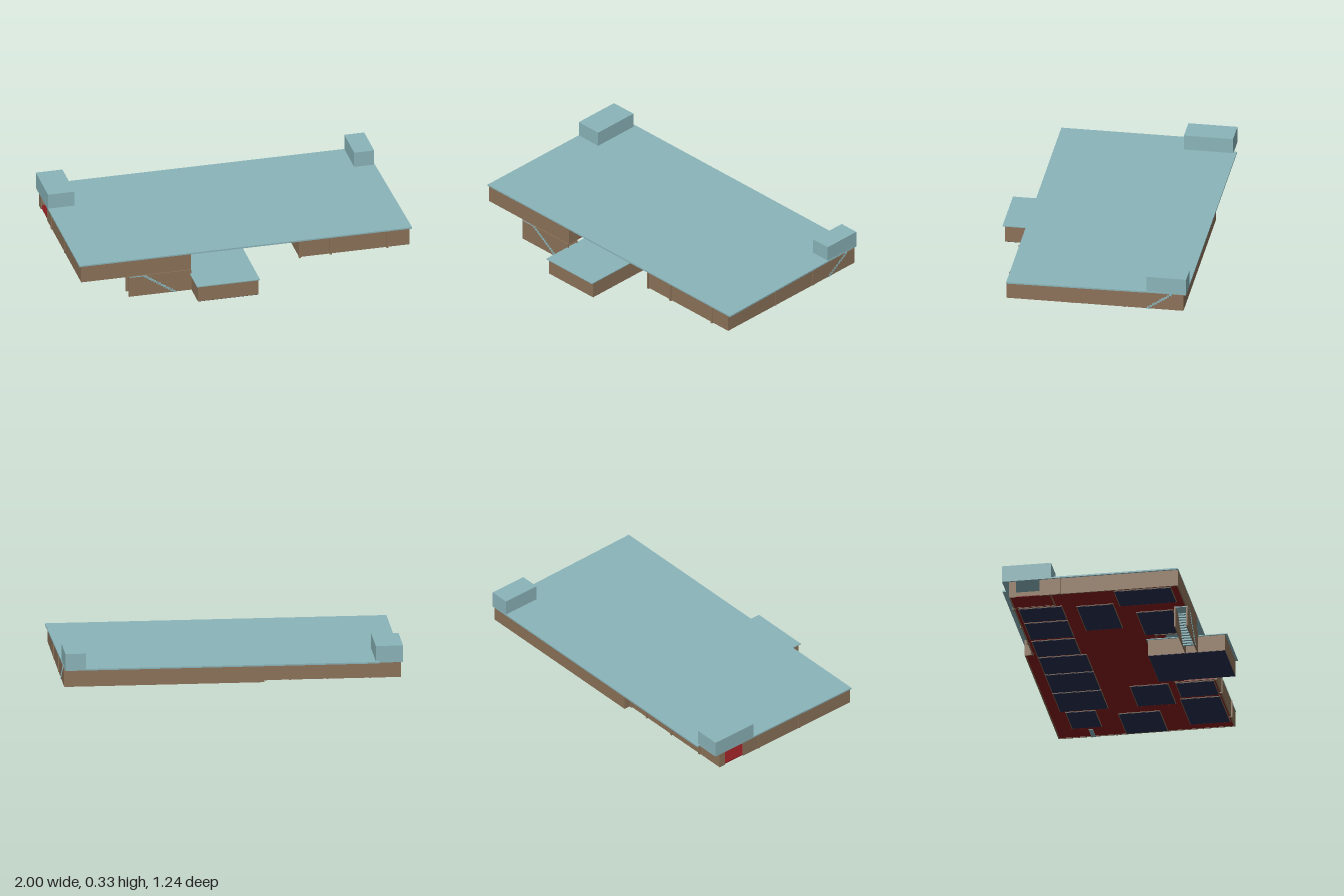
import * as THREE from 'three';

const mat = (name, color) => Object.assign(new THREE.MeshStandardMaterial({ color }), { name });

export function createModel() {
  const model = new THREE.Group();
  model.name = 'flatRoofBuilding';
  const teal = mat('tealRoof', 0x8ab4b9);
  const brown = mat('brownWall', 0x8b7259);
  const red = mat('redFloor', 0x861c20);
  const navy = mat('navyRoomFloor', 0x262c4c);

  const add = (name, geo, material) => {
    const mesh = new THREE.Mesh(geo, material);
    mesh.name = name;
    model.add(mesh);
    return mesh;
  };
  // Box given by its limits on each axis
  const box = (name, m, x0, x1, y0, y1, z0, z1) => add(name,
    new THREE.BoxGeometry(x1 - x0, y1 - y0, z1 - z0)
      .translate((x0 + x1) / 2, (y0 + y1) / 2, (z0 + z1) / 2), m);
  // Horizontal plate from an outline of [x, z] points
  const slab = (name, m, pts, y0, y1) => {
    const shape = new THREE.Shape(pts.map(([x, z]) => new THREE.Vector2(x, -z)));
    const geo = new THREE.ExtrudeGeometry(shape, { depth: y1 - y0, bevelEnabled: false });
    return add(name, geo.rotateX(-Math.PI / 2).translate(0, y0, 0), m);
  };

  // Main roof and the two stair-head boxes on it
  slab('mainRoof', teal, [[-1, 0.44], [1, 0.44], [0.98, -0.62], [-0.86, -0.62], [-0.86, -0.6], [-1, -0.6]], 0.228, 0.237);
  box('leftRoofBox', teal, 0.86, 0.98, 0.229, 0.33, -0.62, -0.385);
  box('rightRoofBox', teal, -1, -0.84, 0.229, 0.328, -0.6, -0.31);

  // Upper floor with the front notch above the lower block
  slab('mainFloor', red, [[-0.985, 0.435], [-0.33, 0.435], [-0.33, 0.25], [0.32, 0.25], [0.32, 0.435],
    [0.98, 0.435], [0.975, -0.6], [-0.18, -0.6], [-0.18, -0.555], [-0.985, -0.555]], 0.13, 0.135);

  // Outer walls, [x0, x1, z0, z1]
  const T = 0.008;
  const walls = [
    [-0.99, -0.33, 0.432, 0.44], [0.32, 0.985, 0.432, 0.44],
    [-0.33, 0.32, 0.19, 0.19 + T],
    [-0.33 - T, -0.33, 0.19, 0.438], [0.32, 0.32 + T, 0.19, 0.438],
    [0.977, 0.985, -0.6, 0.438],
    [-0.18, 0.98, -0.605, -0.597], [-0.18 - T, -0.18, -0.605, -0.555],
    [-0.99, -0.18, -0.56, -0.552],
    [-0.99, -0.982, -0.38, 0.438], [-0.99, -0.982, -0.556, -0.52],
    [-0.84, -0.832, -0.555, -0.31], [-0.985, -0.84, -0.318, -0.31],
  ];
  walls.forEach(([x0, x1, z0, z1]) => box('wall', brown, x0, x1, 0.128, 0.229, z0, z1));

  // Slim wall posts
  for (const x of [0.325, 0.51, 0.85]) box('frontPost', brown, x - 0.006, x + 0.006, 0.123, 0.229, 0.43, 0.446);
  for (const x of [-0.2, -0.34, -0.56, -0.81]) box('backPost', brown, x - 0.006, x + 0.006, 0.128, 0.229, -0.568, -0.55);
  for (const z of [0.05, -0.26]) {
    box('leftPost', brown, 0.975, 0.989, 0.128, 0.229, z - 0.006, z + 0.006);
    box('rightPost', brown, -0.995, -0.98, 0.128, 0.229, z - 0.006, z + 0.006);
  }

  // Room floors showing below, each with a thin wall rim, [x0, x1, z0, z1]
  const rooms = [
    [0.70, 0.97, -0.20, 0.04], [0.56, 0.91, 0.19, 0.42], [0.34, 0.53, 0.20, 0.42],
    [0.34, 0.61, -0.07, 0.15], [0.63, 0.85, -0.50, -0.33], [0.36, 0.61, -0.53, -0.25],
    [0.10, 0.345, -0.53, -0.25], [-0.14, 0.085, -0.53, -0.25], [-0.37, -0.16, -0.53, -0.28],
    [-0.62, -0.40, -0.53, -0.28], [-0.82, -0.64, -0.53, -0.28], [-0.80, -0.47, -0.19, 0.02],
    [-0.97, -0.77, 0.06, 0.39], [-0.66, -0.35, 0.14, 0.35],
  ];
  for (const [x0, x1, z0, z1] of rooms) {
    box('roomRim', brown, x0 - 0.005, x1 + 0.005, 0.127, 0.1305, z0 - 0.005, z1 + 0.005);
    box('roomFloor', navy, x0, x1, 0.125, 0.1275, z0, z1);
  }

  // Lower block: walls, floor and roof
  box('lowerBlock', brown, -0.33, 0.035, 0.002, 0.102, 0.15, 0.605);
  box('lowerFloor', navy, -0.328, 0.033, 0, 0.003, 0.152, 0.603);
  box('lowerRoof', teal, -0.338, 0.04, 0.101, 0.106, 0.14, 0.618);

  // Front staircase running down between two parallel walls
  box('stairFrontWall', brown, -0.705, -0.33, 0, 0.13, 0.439, 0.446);
  box('stairBackWall', brown, -0.705, -0.33, 0, 0.13, 0.368, 0.375);
  box('stairLanding', teal, -0.7, -0.61, 0.124, 0.129, 0.37, 0.448);
  const frontSteps = 13;
  for (let i = 0; i < frontSteps; i++) {
    const x = -0.615 + i * 0.0145, y = 0.119 - i * 0.0099;
    box('frontStep', teal, x, x + 0.0155, Math.max(y - 0.002, 0), y + 0.01, 0.37, 0.449);
  }

  // Roof staircase at the left back corner
  box('roofStairBase', teal, 0.88, 0.987, 0.126, 0.13, -0.41, -0.385);
  for (let i = 0; i < 10; i++) {
    const z = -0.39 - i * 0.0145, y = 0.129 + i * 0.01;
    box('roofStep', teal, 0.88, 0.988, y, y + 0.012, z - 0.0155, z);
  }
  return model;
}
